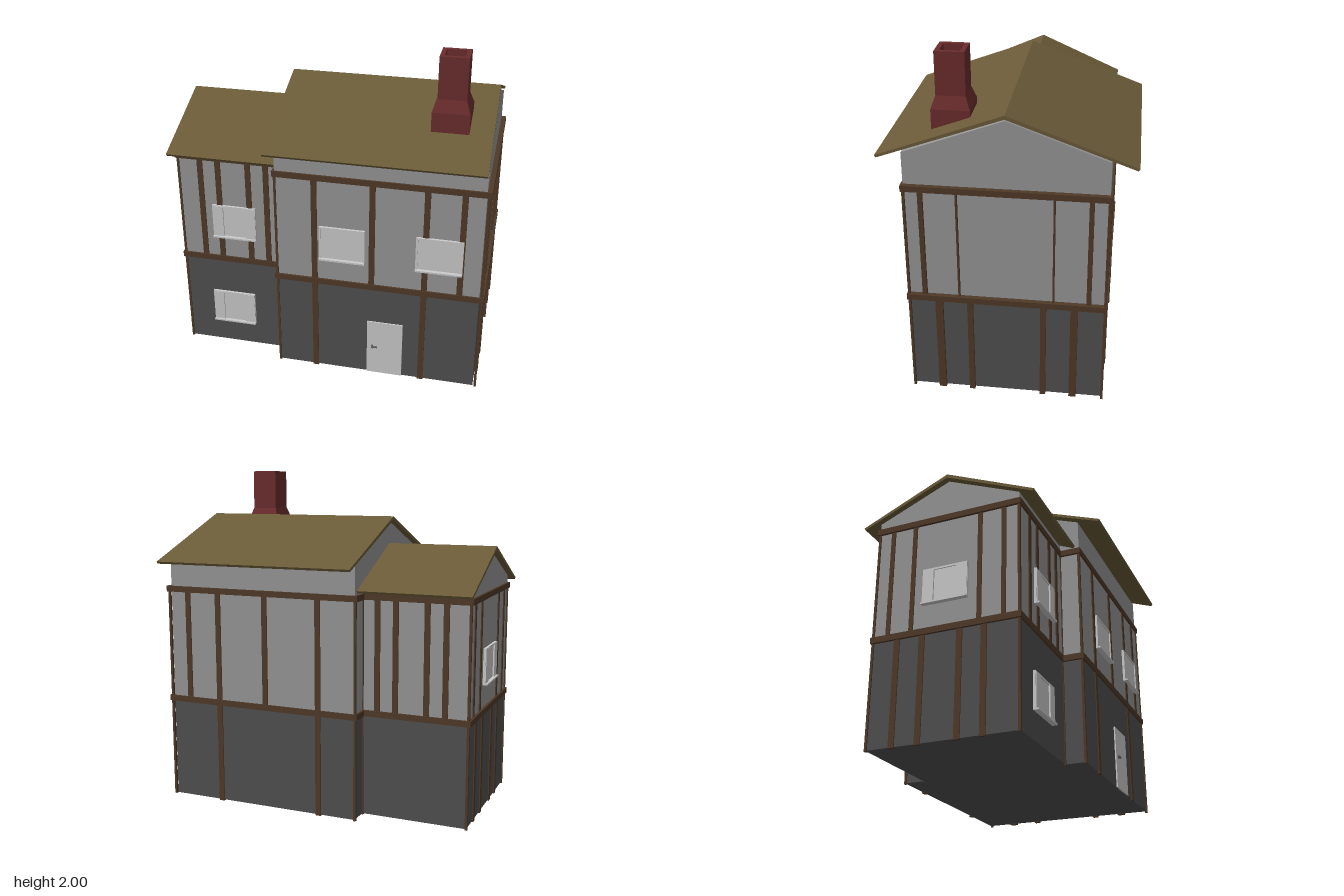
import * as THREE from 'three';

const mat = (color, opts = {}) => new THREE.MeshStandardMaterial({ color, flatShading: true, ...opts });
const M = {
  stone: mat(0x505050), plaster: mat(0x969696), timber: mat(0x503a28),
  roof: mat(0x6b5b38), brick: mat(0x6b2d2d), grey: mat(0xcccccc), metal: mat(0x666666),
};

// Box given by its limits on each axis
function box(parent, name, m, x0, x1, y0, y1, z0, z1) {
  const mesh = new THREE.Mesh(new THREE.BoxGeometry(x1 - x0, y1 - y0, z1 - z0), m);
  mesh.position.set((x0 + x1) / 2, (y0 + y1) / 2, (z0 + z1) / 2);
  mesh.name = name;
  parent.add(mesh);
  return mesh;
}

// Profile of [z, y] points, extruded along x from x0 to x1
function prism(parent, name, m, pts, x0, x1) {
  const shape = new THREE.Shape(pts.map(([z, y]) => new THREE.Vector2(z, y)));
  const geo = new THREE.ExtrudeGeometry(shape, { depth: x1 - x0, bevelEnabled: false });
  geo.rotateY(Math.PI / 2);
  const mesh = new THREE.Mesh(geo, m);
  mesh.position.x = x0;
  mesh.name = name;
  parent.add(mesh);
}

// Group whose local +z points out of a wall
function wall(parent, name, x, z, angle) {
  const g = new THREE.Group();
  g.name = name;
  g.position.set(x, 0, z);
  g.rotation.y = angle;
  parent.add(g);
  return g;
}

// Posts as [position along wall, width]
function posts(g, list, y0, y1, out = 0.006) {
  for (const [u, w] of list) box(g, 'post', M.timber, u - w / 2, u + w / 2, y0, y1, -0.01, out);
}

// Window: pane, frame, sill and optional side shutters
function windowUnit(g, u, y0, shutters) {
  const w = 0.135, y1 = y0 + 0.215, t = 0.012;
  const unit = new THREE.Group();
  unit.name = 'window';
  unit.position.x = u;
  g.add(unit);
  box(unit, 'pane', M.grey, -w, w, y0, y1, -0.01, 0.009);
  for (const s of [-1, 1]) {
    const c = s * (w - t / 2);
    box(unit, 'frameSide', M.grey, c - t / 2, c + t / 2, y0, y1, -0.01, 0.015);
    if (shutters) {
      const k = s * 0.1;
      box(unit, 'shutter', M.grey, k - 0.033, k + 0.033, y0 + 0.006, y1 - 0.004, 0, 0.018);
    }
  }
  box(unit, 'frameTop', M.grey, -w, w, y1 - t, y1, -0.01, 0.015);
  box(unit, 'sill', M.grey, -w, w, y0, y0 + 0.01, -0.01, 0.03);
}

// One block of the house: walls, gable, roof, bands and corner posts
function block(parent, name, o) {
  const g = new THREE.Group();
  g.name = name;
  parent.add(g);
  const { x0, x1, d, outL, outR } = o;
  box(g, 'lowerWalls', M.stone, x0, x1, 0.006, 0.62, -d, d);
  prism(g, 'upperWalls', M.plaster,
    [[-d, 0.62], [d, 0.62], [d, o.wallTop], [0, o.apex - 0.03], [-d, o.wallTop]], x0, x1);
  const { eave, eaveY, apex } = o;
  prism(g, 'roof', M.roof, [
    [-eave, eaveY + 0.013], [-eave + 0.008, eaveY], [0, apex - 0.022],
    [eave - 0.008, eaveY], [eave, eaveY + 0.013], [0, apex],
  ], o.roof0, o.roof1);
  // Horizontal timber bands
  for (const [a, b] of [[0.602, 0.637], [1.28, 1.315]]) {
    for (const s of [-1, 1]) {
      const z = s * (d - 0.005);
      box(g, 'band', M.timber, x0 - outL, x1 + outR, a, b, z - 0.016, z + 0.016);
    }
    box(g, 'endBand', M.timber, x0 - outL, x0 + 0.01, a, b, -d, d);
    box(g, 'endBand', M.timber, x1 - 0.01, x1 + outR, a, b, -d, d);
  }
  // Corner posts
  for (const s of [-1, 1]) {
    const z = s * (d - 0.002);
    for (const x of [x0, x1 + outR / 2])
      box(g, 'cornerPost', M.timber, x - 0.007, x + 0.007, 0, 1.29, z - 0.007, z + 0.007);
  }
  return g;
}

export function createModel() {
  const house = new THREE.Group();
  house.name = 'house';

  const main = block(house, 'mainHouse', {
    x0: -0.285, x1: 0.915, d: 0.548, outL: 0.015, outR: 0.028, wallTop: 1.497,
    apex: 1.73, eave: 0.69, eaveY: 1.46, roof0: -0.31, roof1: 0.917,
  });
  const wing = block(house, 'sideWing', {
    x0: -0.915, x1: -0.285, d: 0.43, outL: 0.015, outR: 0, wallTop: 1.358,
    apex: 1.57, eave: 0.525, eaveY: 1.325, roof0: -0.945, roof1: -0.272,
  });

  // Front and back walls share the same timber layout
  for (const s of [1, -1]) {
    const side = s > 0 ? 'front' : 'back';
    const a = s > 0 ? 0 : Math.PI;
    const mw = wall(main, side + 'Timbers', 0, s * 0.548, a);
    posts(mw, [-0.055, 0.285, 0.595, 0.8].map(x => [s * x, 0.034]), 0.63, 1.29);
    posts(mw, [-0.055, 0.595].map(x => [s * x, 0.034]), 0, 0.61);
    const ww = wall(wing, side + 'Timbers', 0, s * 0.43, a);
    posts(ww, [-0.78, -0.67, -0.485, -0.375].map(x => [s * x, 0.034]), 0.63, 1.29);
    if (s > 0) {
      windowUnit(mw, 0.11, 0.775, false);
      windowUnit(mw, 0.675, 0.775, false);
      windowUnit(ww, -0.582, 0.775, true);
      windowUnit(ww, -0.612, 0.163, true);
      // Door with handle
      box(mw, 'door', M.grey, 0.265, 0.48, 0.006, 0.375, -0.01, 0.008);
      box(mw, 'handlePlate', M.metal, 0.293, 0.303, 0.185, 0.21, 0, 0.012);
      box(mw, 'handle', M.metal, 0.293, 0.33, 0.195, 0.203, 0.01, 0.02);
    }
  }

  // End walls
  const right = wall(main, 'endTimbers', 0.915, 0, Math.PI / 2);
  posts(right, [[-0.457, 0.026], [-0.263, 0.01], [0.26, 0.01], [0.455, 0.026]], 0.63, 1.29, 0.018);
  posts(right, [[-0.38, 0.042], [-0.205, 0.032], [0.205, 0.032], [0.377, 0.042]], 0, 0.61, 0.018);
  const left = wall(wing, 'endTimbers', -0.915, 0, -Math.PI / 2);
  posts(left, [-0.34, -0.2, 0.2, 0.34].map(u => [u, 0.026]), 0.63, 1.29);
  posts(left, [-0.28, -0.13, 0.09, 0.23].map(u => [u, 0.034]), 0, 0.61);
  windowUnit(left, 0, 0.775, true);

  // Square chimney with a hollow flue
  const profile = [[0.105, 1.52], [0.105, 1.69], [0.08, 1.76], [0.08, 2], [0.055, 2], [0.055, 1.8], [0, 1.8]]
    .map(([r, y]) => new THREE.Vector2(r * Math.SQRT2, y));
  const chimney = new THREE.Mesh(new THREE.LatheGeometry(profile, 4), M.brick);
  chimney.name = 'chimney';
  chimney.rotation.y = Math.PI / 4;
  chimney.position.set(0.68, 0, 0.305);
  house.add(chimney);

  return house;
}
